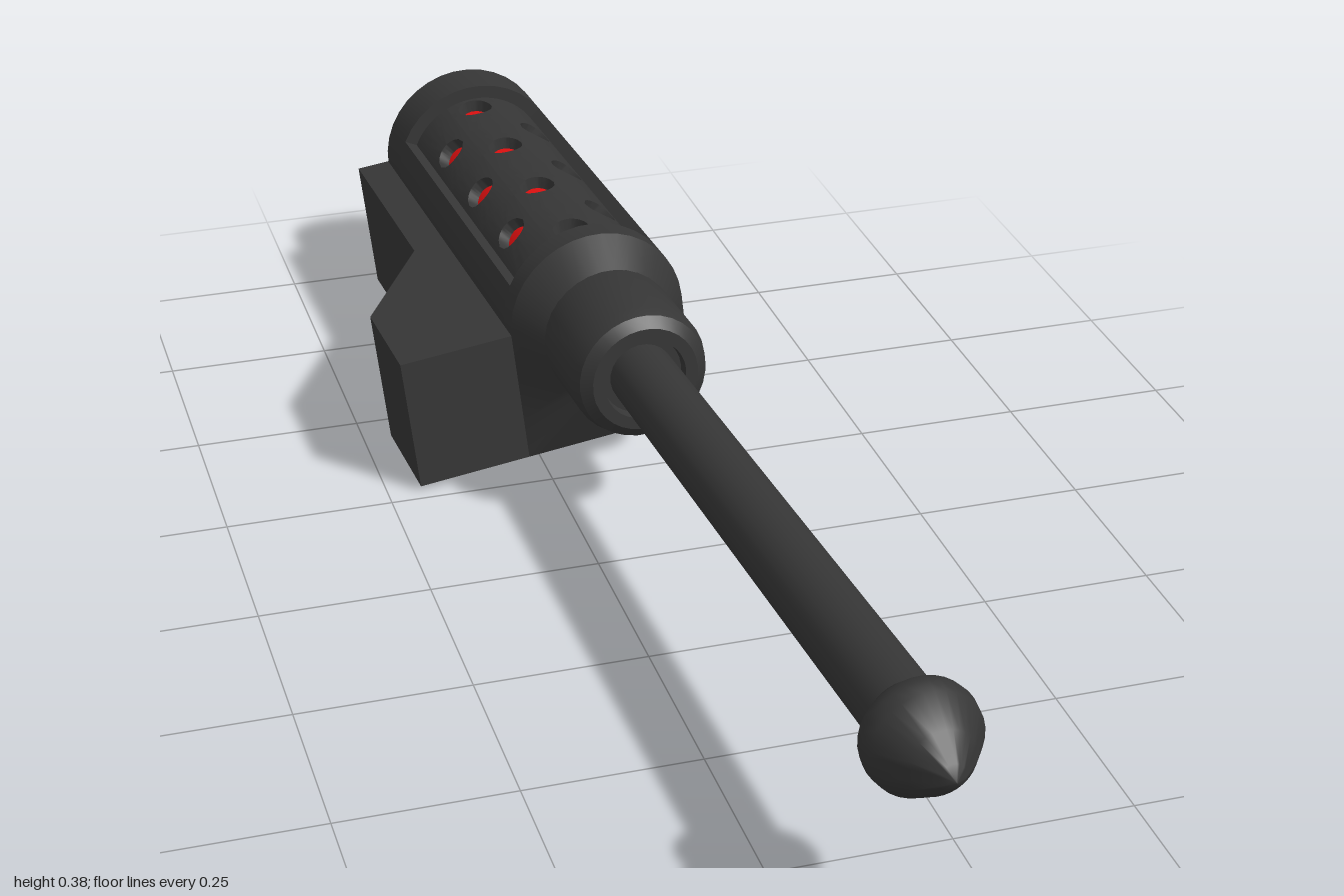
import * as THREE from 'three';
import { toCreasedNormals } from 'three/addons/utils/BufferGeometryUtils.js';

const RAD = Math.PI / 180;
const R = 0.135;          // housing radius
const SLEEVE = 0.114;     // perforated sleeve radius
const FLOOR = 0.095;      // radius of the glowing core
const BOTTOM = -0.205;
const BACK = -0.993, RECESS_BACK = -0.915, RECESS_FRONT = -0.33, FRONT = -0.292;

const metal = new THREE.MeshStandardMaterial({ color: 0x363636 });
metal.name = 'darkMetal';
const red = new THREE.MeshStandardMaterial({ color: 0xe01010 });
red.name = 'glowRed';

function part(name, geometry, material = metal, crease = 32) {
  const mesh = new THREE.Mesh(toCreasedNormals(geometry, crease * RAD), material);
  mesh.name = name;
  return mesh;
}

// Closed loops of points joined into a skin
function loft(loops) {
  const n = loops[0].length, index = [];
  for (let k = 0; k < loops.length - 1; k++) {
    for (let i = 0; i < n; i++) {
      const a = k * n + i, b = k * n + (i + 1) % n;
      index.push(a, b, b + n, a, b + n, a + n);
    }
  }
  const g = new THREE.BufferGeometry();
  g.setAttribute('position', new THREE.Float32BufferAttribute(loops.flat(2), 3));
  g.setIndex(index);
  return g;
}

// Housing cross-section: round top, square lower right corner, round lower left
function outline(innerRadius) {
  const pts = [];
  const arc = (r, from, to, cy) => {
    for (let d = from; d <= to; d += 10) {
      pts.push(new THREE.Vector2(r * Math.cos(d * RAD), cy + r * Math.sin(d * RAD)));
    }
  };
  arc(R, 0, 30, 0);
  if (innerRadius) arc(innerRadius, 30, 150, 0);
  else arc(R, 40, 140, 0);
  arc(R, 150, 180, 0);
  for (const y of [-0.07, -0.14, BOTTOM]) pts.push(new THREE.Vector2(-R, y));
  pts.push(new THREE.Vector2(-0.07, BOTTOM));
  arc(R, -90, 0, BOTTOM + R);
  return pts;
}

function slab(points, z0, z1) {
  const g = new THREE.ExtrudeGeometry(new THREE.Shape(points), { depth: z1 - z0, bevelEnabled: false });
  return g.translate(0, 0, z0);
}

function turned(profile, segments = 32) {
  const pts = profile.map(([r, z]) => new THREE.Vector2(r, z));
  return new THREE.LatheGeometry(pts, segments).rotateX(Math.PI / 2);
}

// One curved sleeve cell with a round hole and its wall
function sleeveCell(angle, halfAngle, hole, z0, z1) {
  const half = halfAngle * RAD * SLEEVE, q0 = hole - z1, q1 = hole - z0;
  const corners = [[half, q0], [half, q1], [-half, q1], [-half, q0]];
  const rect = [];
  corners.forEach(([p, q], i) => {
    const [p2, q2] = corners[(i + 1) % 4];
    for (let t = 0; t < 8; t++) rect.push([p + (p2 - p) * t / 8, q + (q2 - q) * t / 8]);
  });
  const circle = rect.map(([p, q]) => {
    const l = Math.hypot(p, q);
    return [p / l * 0.028, q / l * 0.028];
  });
  const middle = rect.map(([p, q], i) => [(p + circle[i][0]) / 2, (q + circle[i][1]) / 2]);
  const bend = (loop, r) => loop.map(([p, q]) => {
    const a = angle * RAD + p / SLEEVE;
    return [r * Math.sin(a), r * Math.cos(a), hole - q];
  });
  return loft([bend(rect, SLEEVE), bend(middle, SLEEVE), bend(circle, SLEEVE), bend(circle, FLOOR - 0.001)]);
}

export function createModel() {
  const root = new THREE.Group();
  root.name = 'blaster';
  const gun = new THREE.Group();
  gun.name = 'tiltedAssembly';
  gun.position.set(0.095, 0.25, 0);
  gun.rotation.set(-0.03, 0.043, 6.5 * RAD, 'YXZ');
  root.add(gun);

  // Housing with a recess between two rims
  gun.add(part('rearRim', slab(outline(), BACK, RECESS_BACK)));
  gun.add(part('housing', slab(outline(0.09), RECESS_BACK, RECESS_FRONT)));
  gun.add(part('frontRim', slab(outline(), RECESS_FRONT, FRONT)));

  // Shoulder tapering from the housing to the collar
  const base = outline();
  gun.add(part('shoulder', loft([
    base.map(p => [p.x, p.y, FRONT]),
    base.map(p => {
      const l = p.length();
      return [p.x / l * 0.1, p.y / l * 0.1, -0.235];
    }),
  ])));

  // Glowing core under the perforated sleeve
  const core = new THREE.CylinderGeometry(FLOOR, FLOOR, RECESS_FRONT - RECESS_BACK, 24, 1, true, -60 * RAD, 120 * RAD);
  core.rotateX(-Math.PI / 2).translate(0, 0, (RECESS_FRONT + RECESS_BACK) / 2);
  gun.add(part('glowCore', core, red));

  const sleeve = new THREE.Group();
  sleeve.name = 'perforatedSleeve';
  const rows = [
    [-40, [-0.79, -0.625, -0.46]],
    [0, [-0.88, -0.712, -0.544, -0.376]],
    [40, [-0.79, -0.625, -0.46]],
  ];
  for (const [angle, holes] of rows) {
    holes.forEach((z, i) => {
      const z0 = i ? (z + holes[i - 1]) / 2 : RECESS_BACK;
      const z1 = i < holes.length - 1 ? (z + holes[i + 1]) / 2 : RECESS_FRONT;
      sleeve.add(part('sleeveCell', sleeveCell(angle, 20, z, z0, z1)));
    });
  }
  gun.add(sleeve);

  // Side block, wide at the front and narrow behind
  const plan = [[-R, BACK], [-R, FRONT], [-0.308, FRONT], [-0.308, -0.465], [-0.187, -0.645], [-0.187, BACK]];
  const block = new THREE.ExtrudeGeometry(
    new THREE.Shape(plan.map(([x, z]) => new THREE.Vector2(x, z))),
    { depth: 0.005 - BOTTOM, bevelEnabled: false });
  block.rotateX(Math.PI / 2).translate(0, 0.005, 0);
  gun.add(part('sideBlock', block));

  // Collar, barrel and bulb tip
  gun.add(part('collar', turned([
    [0.1, -0.24], [0.102, -0.225], [0.102, -0.105], [0.096, -0.085], [0.08, -0.073], [0.062, -0.073], [0.06, -0.09], [0.04, -0.09],
  ])));
  gun.add(part('barrel', turned([[0.048, -0.12], [0.05, 0.87]], 24)));
  gun.add(part('barrelTip', turned([
    [0.04, 0.848], [0.05, 0.85], [0.074, 0.88], [0.077, 0.895], [0.074, 0.915], [0.046, 0.955], [0.018, 0.985], [0, 0.998],
  ]), metal, 50));

  return root;
}
